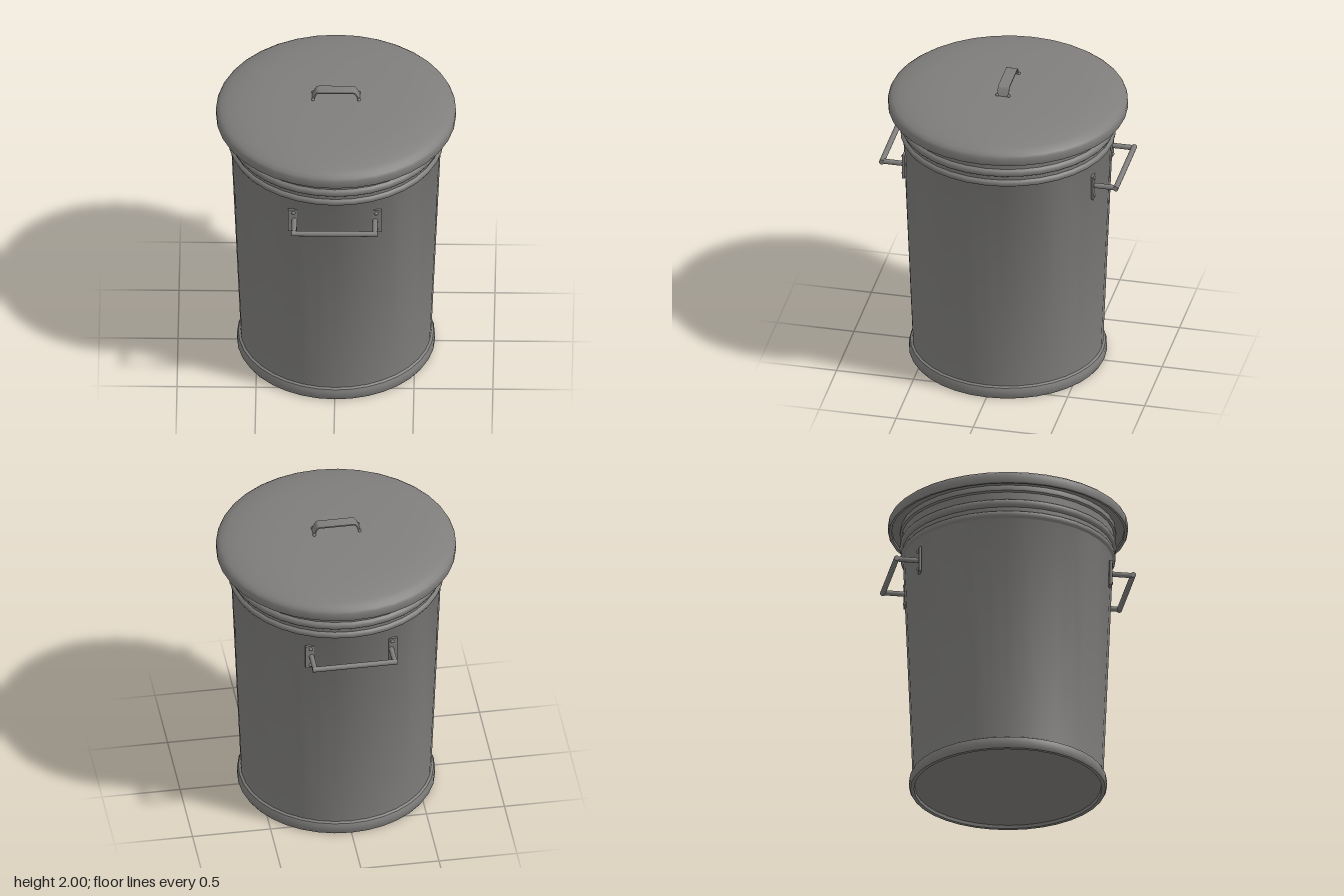
import * as THREE from 'three';
import { toCreasedNormals } from 'three/addons/utils/BufferGeometryUtils.js';

const SEGMENTS = 36;

export function createModel() {
  const model = new THREE.Group();
  model.name = 'dustbin';
  const material = new THREE.MeshStandardMaterial({ color: 0x7f7e7c });

  const add = (parent, name, geometry, x = 0, y = 0, z = 0) => {
    const mesh = new THREE.Mesh(geometry, material);
    mesh.name = name;
    mesh.position.set(x, y, z);
    parent.add(mesh);
    return mesh;
  };
  const lathe = (points) => toCreasedNormals(
    new THREE.LatheGeometry(points.map(([r, y]) => new THREE.Vector2(r, y)), SEGMENTS), 0.7);

  // Rounded ring pressed into the wall, from y0 to y1
  const bead = (inner, outer, y0, y1) => [0, 0.15, 0.35, 0.65, 0.85, 1].map((t) =>
    [inner + (outer - inner) * Math.sqrt(Math.sin(Math.PI * t)), y0 + (y1 - y0) * t]);

  // Tapered body with a recessed floor, foot ring and beads under the rim
  add(model, 'body', lathe([
    [0, 0.02], [0.59, 0.02], [0.595, 0], [0.618, 0], [0.627, 0.015], [0.627, 0.055],
    [0.619, 0.075], [0.604, 0.083], [0.665, 1.583],
    ...bead(0.666, 0.683, 1.585, 1.632),
    [0.669, 1.655],
    ...bead(0.669, 0.688, 1.658, 1.712),
    [0.672, 1.76], [0.685, 1.768], [0.687, 1.785], [0.68, 1.81], [0, 1.81],
  ]));

  // Domed lid with a shallow skirt that overhangs the rim
  add(model, 'lid', lathe([
    [0, 1.805], [0.735, 1.805], [0.738, 1.79], [0.755, 1.788], [0.76, 1.797],
    [0.76, 1.842], [0.753, 1.857], [0.732, 1.873], [0.69, 1.889], [0.62, 1.907],
    [0.52, 1.923], [0.38, 1.935], [0.2, 1.942], [0, 1.945],
  ]));

  // Flat strap bent into the lid handle
  const lidHandle = new THREE.Group();
  lidHandle.name = 'lidHandle';
  model.add(lidHandle);
  const strap = new THREE.Shape([
    [-0.155, 1.935], [-0.148, 1.952], [-0.13, 1.985], [-0.122, 1.996], [-0.11, 2],
    [0.11, 2], [0.122, 1.996], [0.13, 1.985], [0.148, 1.952], [0.155, 1.935],
    [0.145, 1.935], [0.138, 1.952], [0.122, 1.982], [0.116, 1.989], [0.108, 1.991],
    [-0.108, 1.991], [-0.116, 1.989], [-0.122, 1.982], [-0.138, 1.952], [-0.145, 1.935],
  ].map(([x, y]) => new THREE.Vector2(x, y)));
  const strapGeometry = new THREE.ExtrudeGeometry(strap, { depth: 0.074, bevelEnabled: false });
  strapGeometry.translate(0, 0, -0.037);
  add(lidHandle, 'strap', toCreasedNormals(strapGeometry, 0.7));
  for (const x of [-0.145, 0.145]) {
    for (const z of [-0.037, 0.037]) {
      add(lidHandle, 'strapFoot', new THREE.SphereGeometry(0.011, 10, 8), x, 1.946, z);
    }
  }

  // Carrying handles on the front and back
  for (const face of [0, 1]) {
    const handle = new THREE.Group();
    handle.name = face ? 'backHandle' : 'frontHandle';
    handle.rotation.y = face * Math.PI;
    model.add(handle);

    add(handle, 'grip', new THREE.CylinderGeometry(0.0175, 0.0175, 0.544, 12).rotateZ(Math.PI / 2),
      0, 1.43, 0.759);
    for (const side of [-1, 1]) {
      add(handle, 'arm', new THREE.CylinderGeometry(0.0165, 0.0165, 0.16, 12).rotateX(Math.PI / 2),
        side * 0.256, 1.43, 0.679);
      add(handle, 'plate', new THREE.BoxGeometry(0.056, 0.168, 0.016), side * 0.267, 1.426, 0.612);
      for (const y of [1.488, 1.364]) {
        const rivet = new THREE.SphereGeometry(0.0125, 12, 6, 0, Math.PI * 2, 0, Math.PI / 2)
          .rotateX(Math.PI / 2);
        add(handle, 'rivet', rivet, side * 0.262, y, 0.619);
      }
    }
  }
  return model;
}
